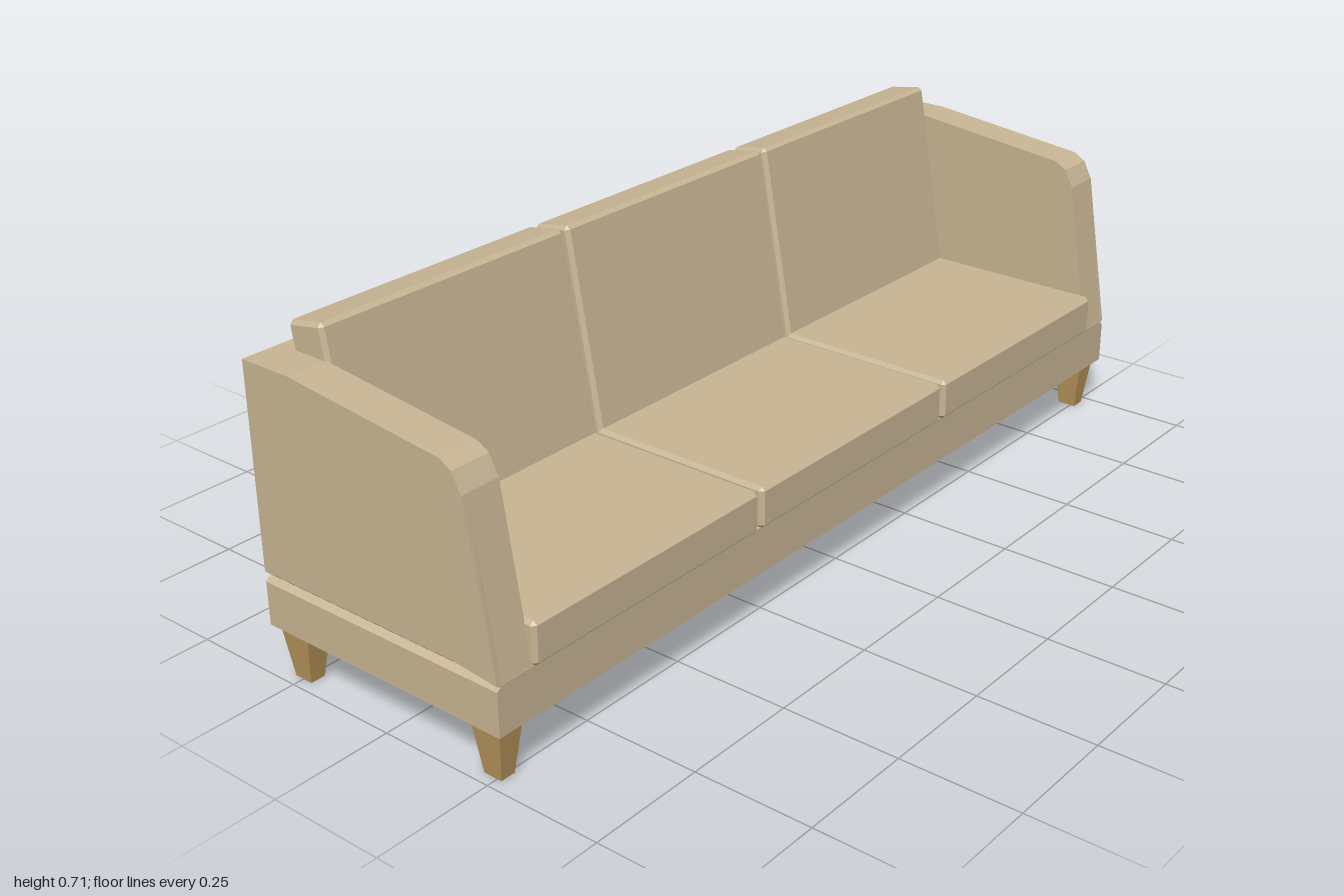
import * as THREE from 'three';
import { ConvexGeometry } from 'three/addons/geometries/ConvexGeometry.js';

const fabric = new THREE.MeshStandardMaterial({ color: 0xc8b694 });
fabric.name = 'beige fabric';
const wood = new THREE.MeshStandardMaterial({ color: 0xba965c });
wood.name = 'light wood';

// Box with every edge chamfered by c
function chamferBox(w, h, d, c) {
  const pts = [];
  for (const sx of [-1, 1]) for (const sy of [-1, 1]) for (const sz of [-1, 1]) {
    const x = w / 2, y = h / 2, z = d / 2;
    for (const [a, b, e] of [[0, c, c], [c, 0, c], [c, c, 0]]) {
      pts.push(new THREE.Vector3(sx * (x - a), sy * (y - b), sz * (z - e)));
    }
  }
  return new ConvexGeometry(pts);
}

// Four-sided taper between two rectangles [x0, x1, z0, z1]
function taper(bottom, y0, top, y1) {
  const pts = [];
  for (const [r, y] of [[bottom, y0], [top, y1]]) {
    for (const x of [r[0], r[1]]) for (const z of [r[2], r[3]]) pts.push(new THREE.Vector3(x, y, z));
  }
  return new ConvexGeometry(pts);
}

// Side profile (x, y) extruded along z from z0
function extrude(points, z0, depth, steps = 1) {
  const shape = new THREE.Shape(points.map(([x, y]) => new THREE.Vector2(x, y)));
  const g = new THREE.ExtrudeGeometry(shape, { depth, steps, bevelEnabled: false });
  return g.translate(0, 0, z0);
}

// Arm slab whose lower outer edge is chamfered to form the shadow groove
function armGeometry(side) {
  const inner = 0.915;
  const g = extrude([
    [-0.298, 0.21], [0.185, 0.21], [0.287, 0.205], [0.23, 0.547],
    [0.21, 0.585], [0.185, 0.60], [-0.18, 0.64], [-0.298, 0.64],
  ], side > 0 ? inner : -1, 1 - inner, 2);
  const p = g.attributes.position;
  for (let i = 0; i < p.count; i++) {
    const z = Math.abs(p.getZ(i));
    if (z > 0.93 && z < 0.98) p.setZ(i, side * 0.988);
    if (z > 0.99 && p.getY(i) < 0.3) p.setY(i, p.getY(i) + (p.getX(i) > 0.25 ? 0.006 : 0.012));
  }
  g.computeVertexNormals();
  return g;
}

export function createModel() {
  const sofa = new THREE.Group();
  sofa.name = 'sofa';
  const add = (name, geometry, material) => {
    const mesh = new THREE.Mesh(geometry, material);
    mesh.name = name;
    sofa.add(mesh);
    return mesh;
  };

  // Base rail, with the top edge chamfered at both ends
  add('base', new THREE.BoxGeometry(0.585, 0.09, 2).translate(-0.0055, 0.155, 0), fabric);
  add('baseTop', taper([-0.298, 0.287, -1, 1], 0.20, [-0.298, 0.287, -0.988, 0.988], 0.21), fabric);

  // Back panel, sloped on the inside
  add('backPanel', extrude([[-0.298, 0.21], [-0.185, 0.21], [-0.26, 0.64], [-0.298, 0.64]], -0.915, 1.83), fabric);

  // Arms
  add('leftArm', armGeometry(-1), fabric);
  add('rightArm', armGeometry(1), fabric);

  // Three seat cushions and three leaning back cushions
  for (let i = -1; i <= 1; i++) {
    add('seatCushion', chamferBox(0.496, 0.088, 0.606, 0.008), fabric).position.set(0.048, 0.253, i * 0.615);
    const back = add('backCushion', chamferBox(0.09, 0.49, 0.606, 0.008), fabric);
    back.position.set(-0.185, 0.459, i * 0.615);
    back.rotation.z = THREE.MathUtils.degToRad(10);
  }

  // Tapered legs under flared fabric mounts
  const legs = [
    { name: 'backLeg', mount: [-0.298, -0.2], top: [-0.284, -0.213], foot: [-0.27, -0.228] },
    { name: 'frontLeg', mount: [0.191, 0.287], top: [0.206, 0.273], foot: [0.219, 0.26] },
  ];
  for (const leg of legs) {
    for (const s of [-1, 1]) {
      add(leg.name + 'Mount', taper([...leg.top, s * 0.933, s * 0.987], 0.1, [...leg.mount, s * 0.92, s], 0.11), fabric);
      add(leg.name, taper([...leg.foot, s * 0.944, s * 0.976], 0, [...leg.top, s * 0.933, s * 0.987], 0.1), wood);
    }
  }
  return sofa;
}
